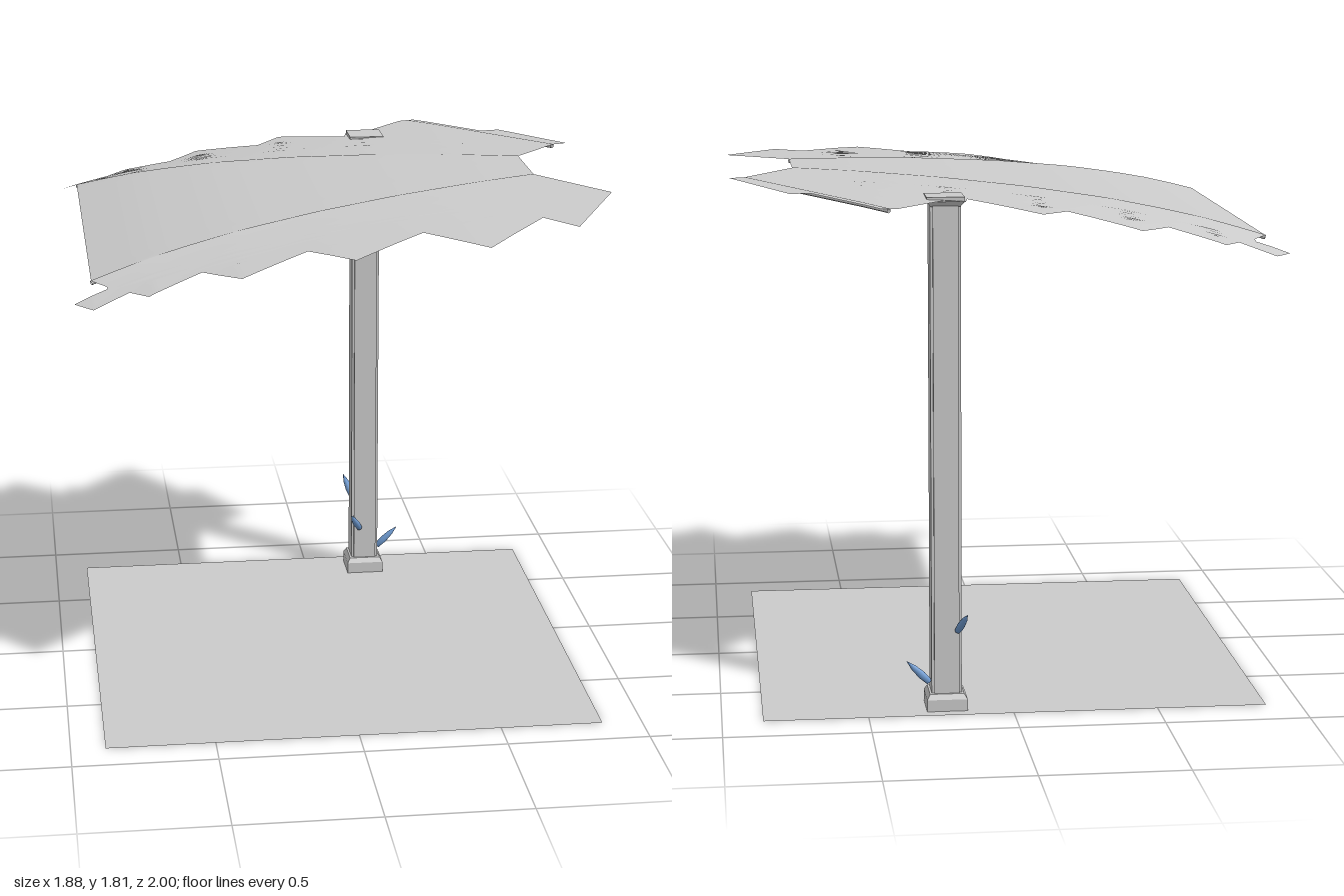
import * as THREE from 'three';
import { mergeVertices } from 'three/addons/utils/BufferGeometryUtils.js';

const POST = { x: 0.226, z: -0.727 };
const MID = 0.015; // z of the canopy's centre line

const grey = () => new THREE.MeshStandardMaterial({ color: 0xcccccc, side: THREE.DoubleSide });

// Height of the canopy: arched along x, sloping down outside the two spines.
const arch = [[-0.95, 1.597], [-0.88, 1.62], [-0.68, 1.675], [-0.4, 1.728], [-0.1, 1.765], [0.2, 1.79], [0.5, 1.805], [0.95, 1.816]];
const spineZ = x => 0.145 + (0.71 - x) * 0.343;
function height(x, z) {
  let i = 0;
  while (i < arch.length - 2 && x > arch[i + 1][0]) i++;
  const [a, b] = [arch[i], arch[i + 1]];
  const y = a[1] + (b[1] - a[1]) * (x - a[0]) / (b[0] - a[0]);
  const t = Math.max(0, (0.41 - x) / 1.29);
  const slope = 0.045 + 0.19 * Math.pow(t, 2.2);
  return y - slope * Math.max(0, Math.abs(z - MID) - spineZ(x));
}

// Triangulate outlines, split every triangle evenly, then lift onto the canopy surface.
function sheet(outlines, levels) {
  const out = [];
  const mid = (a, b) => [(a[0] + b[0]) / 2, (a[1] + b[1]) / 2];
  const split = (a, b, c, n) => {
    if (n === 0) {
      for (const [x, z] of [a, b, c]) out.push(x, height(x, z), z);
      return;
    }
    const ab = mid(a, b), bc = mid(b, c), ca = mid(c, a);
    split(a, ab, ca, n - 1);
    split(ab, b, bc, n - 1);
    split(ca, bc, c, n - 1);
    split(ab, bc, ca, n - 1);
  };
  for (const outline of outlines) {
    const flat = new THREE.ShapeGeometry(new THREE.Shape(outline.map(([x, z]) => new THREE.Vector2(x, -z))));
    const p = flat.attributes.position, idx = flat.index;
    const at = i => [p.getX(idx.getX(i)), -p.getY(idx.getX(i))];
    for (let i = 0; i < idx.count; i += 3) split(at(i), at(i + 1), at(i + 2), levels);
  }
  const g = new THREE.BufferGeometry();
  g.setAttribute('position', new THREE.Float32BufferAttribute(out, 3));
  const merged = mergeVertices(g, 1e-4);
  merged.computeVertexNormals();
  return merged;
}

// Square with stepped-in corners, extruded upwards
function columnShape(half, notch) {
  const q = half - notch;
  const s = new THREE.Shape();
  for (let i = 0; i < 4; i++) {
    const c = Math.round(Math.cos(i * Math.PI / 2)), n = Math.round(Math.sin(i * Math.PI / 2));
    for (const [x, y] of [[half, -q], [half, q], [q, q]]) {
      const px = x * c - y * n, py = x * n + y * c;
      if (i === 0 && y === -q) s.moveTo(px, py); else s.lineTo(px, py);
    }
  }
  return s;
}

// Four-sided tapered block
function block(name, low, high, y0, y1) {
  const g = new THREE.CylinderGeometry(high * Math.SQRT2, low * Math.SQRT2, y1 - y0, 4).toNonIndexed();
  g.rotateY(Math.PI / 4);
  g.computeVertexNormals();
  const m = new THREE.Mesh(g, grey());
  m.name = name;
  m.position.y = (y0 + y1) / 2;
  return m;
}

// Thin strut following the canopy between two points in plan
function rib(name, [x0, z0], [x1, z1]) {
  const pts = [];
  for (let i = 0; i <= 12; i++) {
    const x = x0 + (x1 - x0) * i / 12, z = z0 + (z1 - z0) * i / 12;
    pts.push(new THREE.Vector3(x, height(x, z) - 0.007, z));
  }
  const m = new THREE.Mesh(new THREE.TubeGeometry(new THREE.CatmullRomCurve3(pts), 36, 0.008, 6), grey());
  m.name = name;
  return m;
}

// Leaf-shaped spike running from a to b
function spike(a, b) {
  const A = new THREE.Vector3(...a), d = new THREE.Vector3(...b).sub(A), L = d.length();
  const profile = [[0, 0], [0.011, 0.04], [0.014, 0.35], [0.01, 0.7], [0, 1]].map(([r, t]) => new THREE.Vector2(r, t * L));
  const m = new THREE.Mesh(new THREE.LatheGeometry(profile, 8), new THREE.MeshStandardMaterial({ color: 0x6f9bd1 }));
  m.name = 'spike';
  m.position.copy(A);
  m.quaternion.setFromUnitVectors(new THREE.Vector3(0, 1, 0), d.normalize());
  return m;
}

export function createModel() {
  const model = new THREE.Group();

  // Ground sheet
  const ground = new THREE.Mesh(new THREE.PlaneGeometry(1.74, 1.71).rotateX(-Math.PI / 2), grey());
  ground.name = 'groundSheet';
  ground.position.set(-0.01, 0.001, 0.015);
  model.add(ground);

  // Post with stepped base and flared cap
  const post = new THREE.Group();
  post.name = 'post';
  post.position.set(POST.x, 0, POST.z);
  const shaft = new THREE.Mesh(
    new THREE.ExtrudeGeometry(columnShape(0.052, 0.009), { depth: 1.71, bevelEnabled: false }).rotateX(-Math.PI / 2), grey());
  shaft.name = 'shaft';
  shaft.position.y = 0.05;
  post.add(shaft,
    block('basePlinth', 0.07, 0.07, 0, 0.042),
    block('baseStep', 0.07, 0.059, 0.042, 0.06),
    block('capFlare', 0.05, 0.064, 1.745, 1.763),
    block('capPlate', 0.064, 0.064, 1.763, 1.778));
  model.add(post);

  // Canopy: centre panel and two jagged wings
  const rearSpine = [[0.71, -0.13], [-0.88, -0.675]];
  const frontSpine = [[-0.88, 0.705], [0.71, 0.16]];
  const rearWing = [...rearSpine, [-0.83, -0.74], [-0.83, -0.765], [-0.94, -0.8], [-0.88, -0.87], [-0.76, -0.82],
    [-0.7, -0.895], [-0.52, -0.81], [-0.41, -0.945], [-0.18, -0.8], [-0.085, -0.915], [0.15, -0.74], [0.16, -0.8],
    [0.235, -0.8], [0.4, -0.99], [0.455, -1], [0.67, -0.69], [0.74, -0.7], [0.935, -0.36], [0.88, -0.34]];
  const frontWing = [...frontSpine, [0.935, 0.42], [0.74, 0.81], [0.64, 0.69], [0.41, 0.995], [0.22, 0.78],
    [-0.03, 0.98], [-0.17, 0.82], [-0.4, 0.96], [-0.52, 0.83], [-0.7, 0.92], [-0.76, 0.85], [-0.88, 0.9],
    [-0.94, 0.825], [-0.83, 0.785], [-0.83, 0.77]];
  const canopy = new THREE.Mesh(sheet([[...rearSpine, ...frontSpine], rearWing, frontWing], 4), grey());
  canopy.name = 'canopy';
  model.add(canopy);

  // Ribs under the two spines and along the rear corner
  model.add(rib('rearRib', ...rearSpine), rib('frontRib', ...frontSpine), rib('cornerRib', [0.43, -0.99], [0.88, -0.345]));

  // Spikes stuck in the foot of the post
  model.add(
    spike([0.28, 0.085, -0.727], [0.362, 0.165, -0.727]),
    spike([0.205, 0.185, -0.67], [0.163, 0.262, -0.61]),
    spike([0.19, 0.28, -0.78], [0.16, 0.356, -0.845]));
  return model;
}
